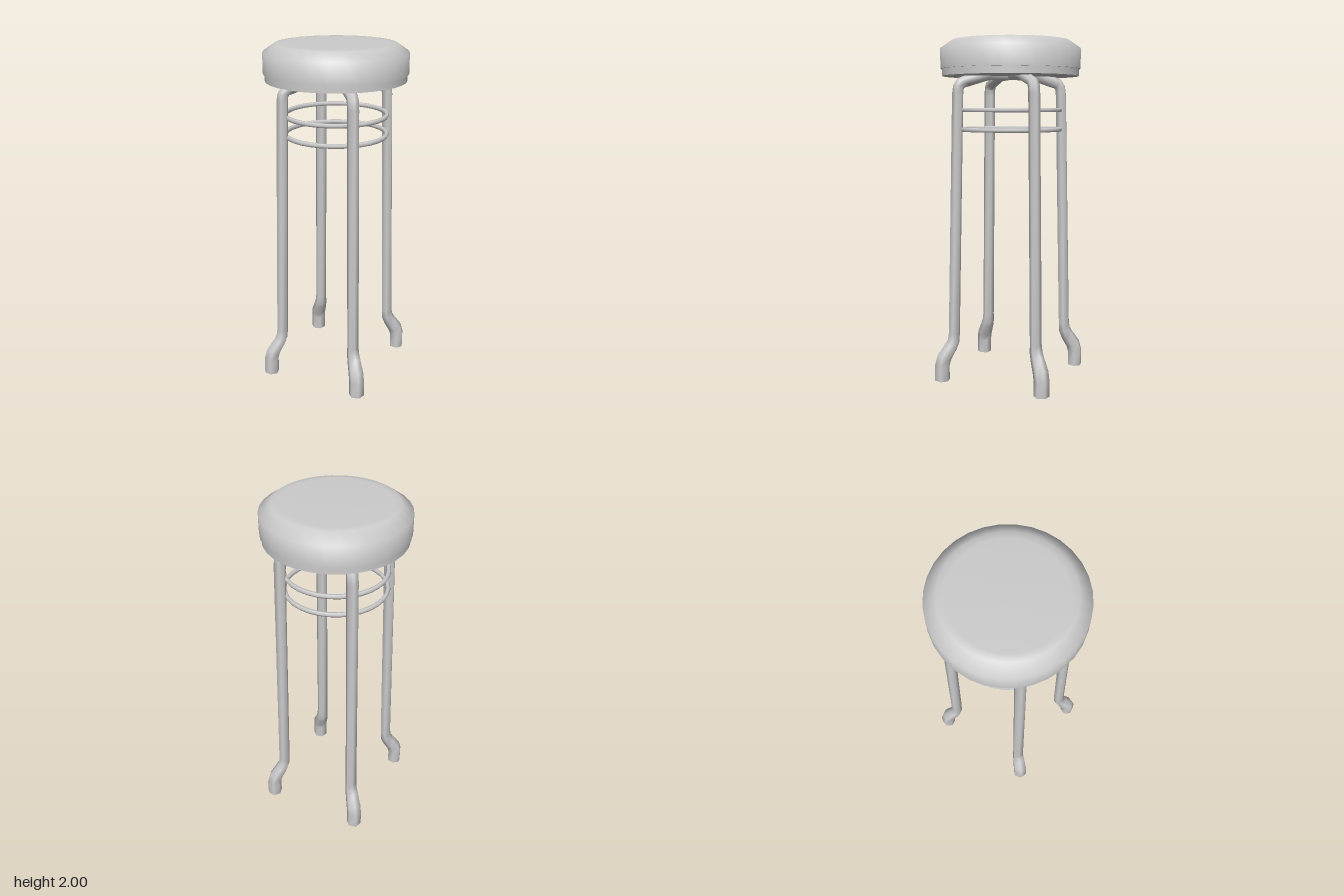
import * as THREE from 'three';
import { toCreasedNormals } from 'three/addons/utils/BufferGeometryUtils.js';

const material = new THREE.MeshStandardMaterial({ color: 0xcccccc });

function addMesh(parent, name, geometry) {
  const mesh = new THREE.Mesh(geometry, material);
  mesh.name = name;
  parent.add(mesh);
  return mesh;
}

// Leg centre line as [distance from axis, height, tube radius], foot to seat centre
const LEG_PATH = [
  [0.43, 0, 0.045], [0.43, 0.09, 0.045], [0.418, 0.135, 0.045],
  [0.376, 0.2, 0.04], [0.359, 0.235, 0.037], [0.354, 0.28, 0.034],
  [0.319, 1.69, 0.033], [0.314, 1.73, 0.033], [0.298, 1.754, 0.033],
  [0.268, 1.764, 0.033], [0.14, 1.803, 0.033], [0, 1.807, 0.033],
];

// Hexagonal tube swept along the leg path, with a flat cap under the foot
function legGeometry() {
  const sides = 6, positions = [], index = [];
  const points = LEG_PATH.map(([r, y]) => new THREE.Vector2(r, y));
  const last = points.length - 1;
  const direction = (a, b) => points[b].clone().sub(points[a]).normalize();
  points.forEach((p, i) => {
    const t = new THREE.Vector2();
    if (i > 0) t.add(direction(i - 1, i));
    if (i < last) t.add(direction(i, i + 1));
    t.normalize();
    for (let k = 0; k < sides; k++) {
      const a = (k / sides) * Math.PI * 2;
      const u = LEG_PATH[i][2] * Math.cos(a), v = LEG_PATH[i][2] * Math.sin(a);
      positions.push(p.x + t.y * u, p.y - t.x * u, -v);
    }
  });
  for (let i = 0; i < last; i++) {
    for (let k = 0; k < sides; k++) {
      const a = i * sides + k, b = i * sides + (k + 1) % sides;
      index.push(a, b, b + sides, a, b + sides, a + sides);
    }
  }
  // Foot cap has its own corners so its edge stays sharp
  const cap = positions.length / 3;
  positions.push(...positions.slice(0, sides * 3));
  for (let k = 1; k < sides - 1; k++) index.push(cap, cap + k + 1, cap + k);

  const geometry = new THREE.BufferGeometry();
  geometry.setAttribute('position', new THREE.Float32BufferAttribute(positions, 3));
  geometry.setIndex(index);
  geometry.computeVertexNormals();
  return geometry;
}

export function createModel() {
  const stool = new THREE.Group();
  stool.name = 'stool';

  // Round cushion with a sloped upper edge, on a slightly narrower base
  const cushion = [
    [0, 1.835], [0.407, 1.835], [0.407, 1.952], [0.34, 1.998], [0.3, 2], [0, 2],
  ].map(([r, y]) => new THREE.Vector2(r, y));
  addMesh(stool, 'seatCushion', toCreasedNormals(new THREE.LatheGeometry(cushion, 32), 1.1));

  const base = [[0, 1.795], [0.398, 1.795], [0.398, 1.836]]
    .map(([r, y]) => new THREE.Vector2(r, y));
  addMesh(stool, 'seatBase', toCreasedNormals(new THREE.LatheGeometry(base, 32), 1.1));

  // Four legs; the side pair is turned slightly around the axis
  const leg = legGeometry();
  const turn = 0.09;
  const angles = {
    frontLeg: -Math.PI / 2, backLeg: Math.PI / 2,
    leftLeg: turn, rightLeg: Math.PI + turn,
  };
  for (const [name, angle] of Object.entries(angles)) {
    addMesh(stool, name, leg).rotation.y = angle;
  }

  // Two bracing rings inside the legs
  const ring = new THREE.TorusGeometry(0.29, 0.0135, 6, 32).rotateX(Math.PI / 2);
  addMesh(stool, 'upperRing', ring).position.y = 1.6;
  addMesh(stool, 'lowerRing', ring).position.y = 1.488;

  return stool;
}
